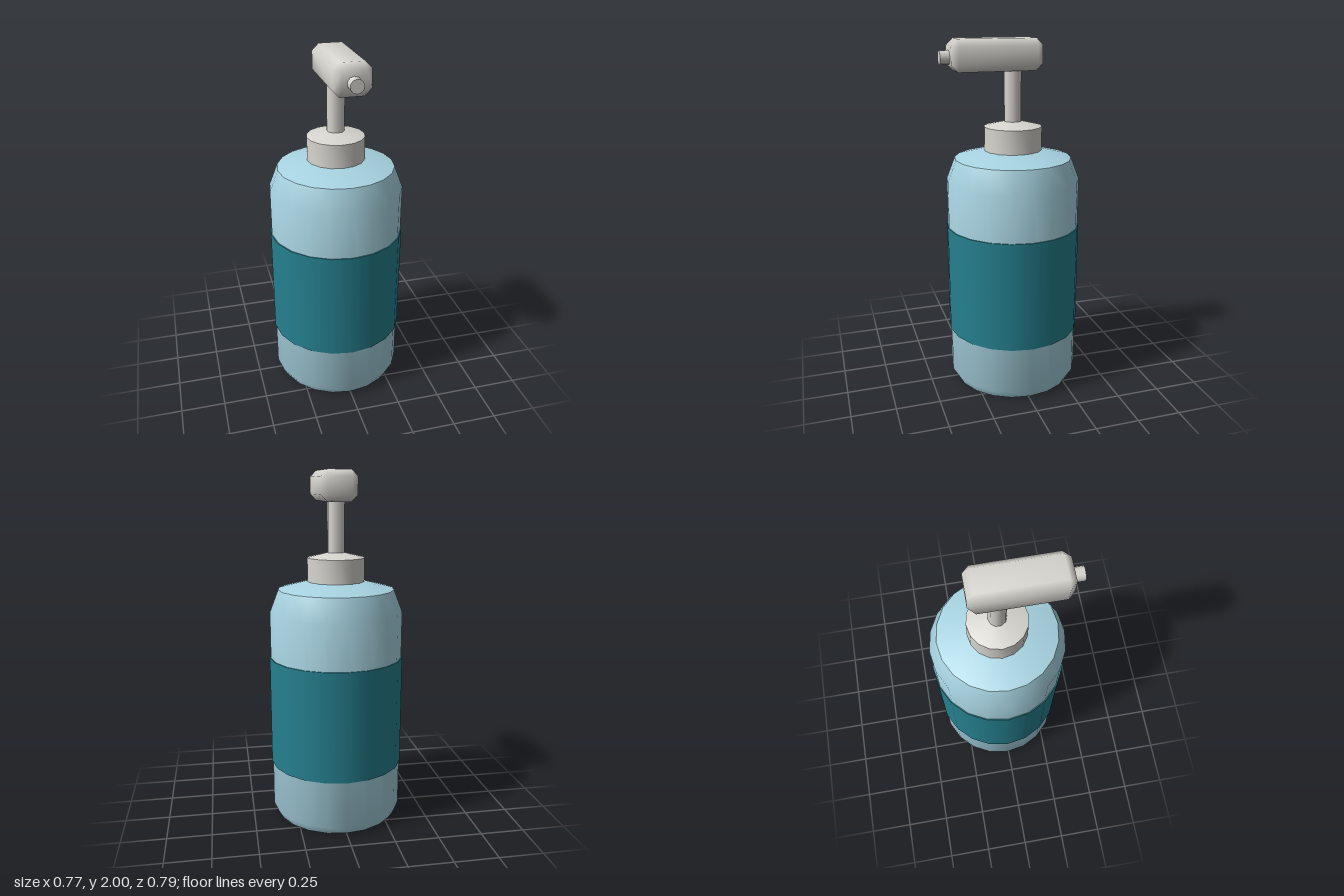
import * as THREE from 'three';
import { mergeVertices, toCreasedNormals } from 'three/addons/utils/BufferGeometryUtils.js';
import { ConvexGeometry } from 'three/addons/geometries/ConvexGeometry.js';

const AXIS_Z = -0.012; // the bottle's axis sits slightly behind the centre

function material(name, color) {
  const m = new THREE.MeshStandardMaterial({ color });
  m.name = name;
  return m;
}

function lathe(profile, sides) {
  const points = profile.map(([r, y]) => new THREE.Vector2(r, y));
  return toCreasedNormals(new THREE.LatheGeometry(points, sides), 0.62);
}

// Box with single-step bevels and smooth normals
function beveledBox(w, h, d, b) {
  const points = [];
  const half = [w / 2, h / 2, d / 2];
  for (const sx of [-1, 1]) for (const sy of [-1, 1]) for (const sz of [-1, 1]) {
    for (let axis = 0; axis < 3; axis++) {
      const p = half.map((v, i) => (i === axis ? v : v - b));
      points.push(new THREE.Vector3(p[0] * sx, p[1] * sy, p[2] * sz));
    }
  }
  const geometry = new ConvexGeometry(points);
  geometry.deleteAttribute('normal');
  const smooth = mergeVertices(geometry, 1e-4);
  smooth.computeVertexNormals();
  return smooth;
}

export function createModel() {
  const model = new THREE.Group();
  model.name = 'pumpBottle';
  const blue = material('light blue plastic', 0xa8d4e2);
  const teal = material('teal label', 0x25808f);
  const grey = material('pale grey plastic', 0xd8d6d0);

  const add = (name, geometry, mat, y = 0, z = AXIS_Z) => {
    const mesh = new THREE.Mesh(geometry, mat);
    mesh.name = name;
    mesh.position.set(0, y, z);
    model.add(mesh);
    return mesh;
  };

  // Bottle with chamfered base and sloping shoulder
  add('bottle', lathe([
    [0, 0], [0.35, 0], [0.378, 0.05], [0.378, 1.22], [0.33, 1.345], [0.15, 1.392], [0, 1.392],
  ], 20), blue);

  // Label band wrapped around the bottle
  add('label', new THREE.CylinderGeometry(0.384, 0.384, 0.633, 20), teal, 0.638);

  // Collar with a shallow conical top
  add('collar', lathe([
    [0, 1.385], [0.163, 1.385], [0.163, 1.522], [0.045, 1.55], [0, 1.55],
  ], 16), grey);

  // Pump: stem, head and nozzle
  add('stem', new THREE.CylinderGeometry(0.049, 0.049, 0.32, 10), grey, 1.69);
  add('pumpHead', beveledBox(0.202, 0.172, 0.506, 0.037), grey, 1.914, 0.09);
  const nozzle = add('nozzle', new THREE.CylinderGeometry(0.037, 0.037, 0.08, 10), grey, 1.903, 0.355);
  nozzle.rotation.x = Math.PI / 2;

  return model;
}
